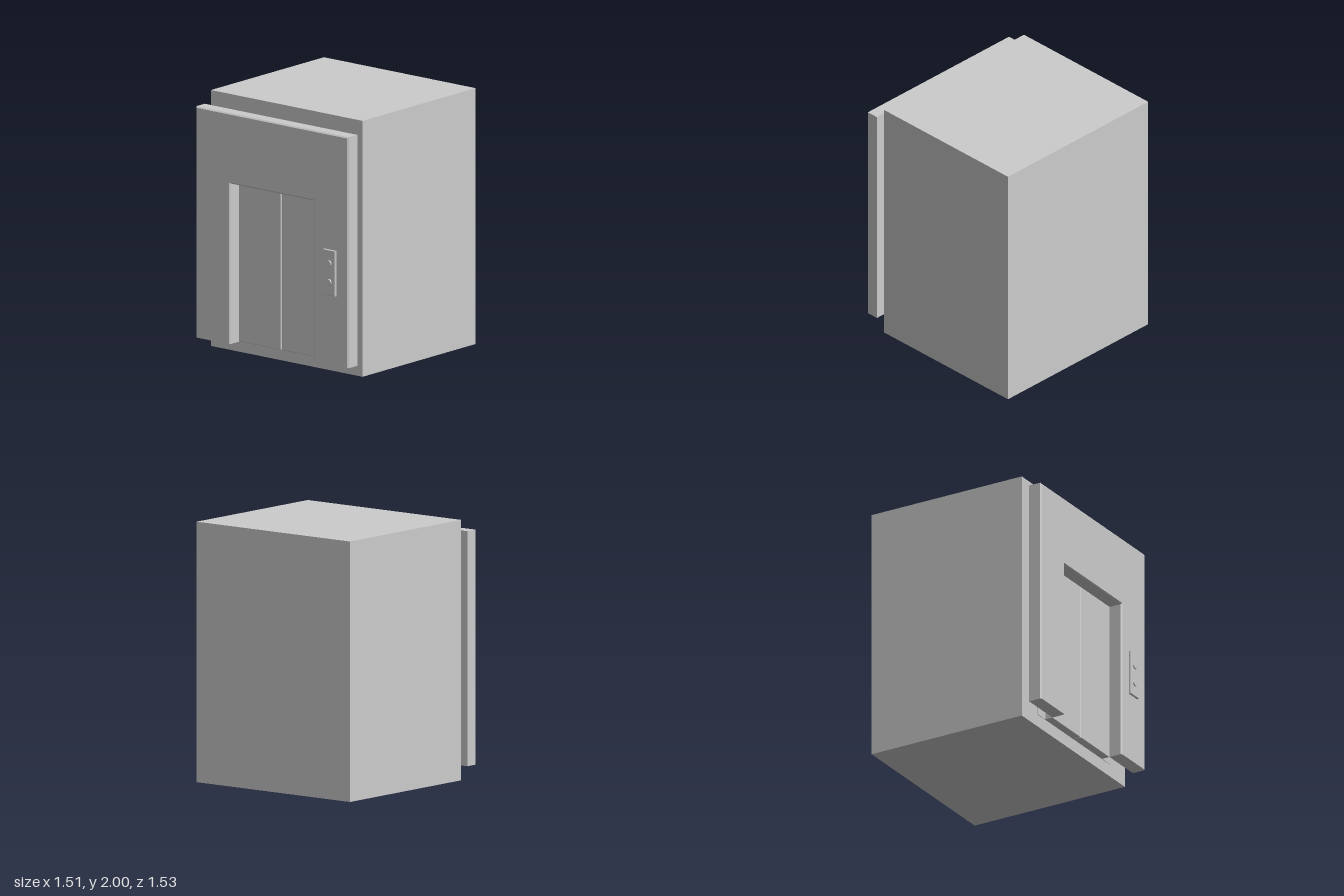
import * as THREE from 'three';

const material = new THREE.MeshStandardMaterial({ color: 0xcccccc });

// Slab from a counter-clockwise outline(inset), with a chamfer along its front edge
function chamferedSlab(name, outline, zBack, zFront, chamfer) {
  const rings = [[0, zBack], [0, zFront - chamfer], [chamfer, zFront]].map(
    ([inset, z]) => outline(inset).map(([x, y]) => new THREE.Vector3(x, y, z)));
  const points = [];
  const count = rings[0].length;
  for (let r = 0; r < 2; r++) {
    for (let i = 0; i < count; i++) {
      const j = (i + 1) % count;
      const a = rings[r][i], b = rings[r][j], c = rings[r + 1][j], d = rings[r + 1][i];
      points.push(a, b, c, a, c, d);
    }
  }
  const flat = rings[0].map((p) => new THREE.Vector2(p.x, p.y));
  for (const [a, b, c] of THREE.ShapeUtils.triangulateShape(flat, [])) {
    points.push(rings[2][a], rings[2][b], rings[2][c]);
    points.push(rings[0][a], rings[0][c], rings[0][b]);
  }
  const geometry = new THREE.BufferGeometry().setFromPoints(points);
  geometry.computeVertexNormals();
  const mesh = new THREE.Mesh(geometry, material);
  mesh.name = name;
  return mesh;
}

// Rectangle outline that shrinks by the inset on all sides
const rectangle = (x0, x1, y0, y1) => (i) =>
  [[x0 + i, y0 + i], [x1 - i, y0 + i], [x1 - i, y1 - i], [x0 + i, y1 - i]];

// Wall outline with a doorway open at the bottom; the base stays square
const wallOutline = (i) => {
  const w = 0.755 - i, top = 1.905 - i, d = 0.415 + i, head = 1.355 + i, y = 0.1;
  return [[-w, y], [-d, y], [-d, head], [d, head], [d, y], [w, y], [w, top], [-w, top]];
};

function box(name, x0, x1, y0, y1, z0, z1) {
  const mesh = new THREE.Mesh(new THREE.BoxGeometry(x1 - x0, y1 - y0, z1 - z0), material);
  mesh.position.set((x0 + x1) / 2, (y0 + y1) / 2, (z0 + z1) / 2);
  mesh.name = name;
  return mesh;
}

export function createModel() {
  const model = new THREE.Group();
  model.name = 'elevator';

  // Shaft block and the thin plate behind the doors
  model.add(box('shaft', -0.75, 0.75, 0, 2, -0.767, 0.567));
  model.add(box('doorBackPlate', -0.53, 0.53, 0.1, 1.355, 0.56, 0.571));

  // Front wall standing clear of the shaft
  model.add(chamferedSlab('frontWall', wallOutline, 0.635, 0.743, 0.01));

  // Pair of sliding doors
  model.add(chamferedSlab('rightDoor', rectangle(-0.415, -0.003, 0.1, 1.355), 0.567, 0.629, 0.005));
  model.add(chamferedSlab('leftDoor', rectangle(0.003, 0.415, 0.1, 1.355), 0.567, 0.629, 0.005));

  // Call panel with two round buttons
  const callPanel = new THREE.Group();
  callPanel.name = 'callPanel';
  callPanel.add(chamferedSlab('callPlate', rectangle(0.52, 0.638, 0.645, 1), 0.743, 0.759, 0.003));
  const buttonGeometry = new THREE.CylinderGeometry(0.022, 0.026, 0.01, 20).rotateX(Math.PI / 2);
  for (const [name, y] of [['upButton', 0.895], ['downButton', 0.75]]) {
    const button = new THREE.Mesh(buttonGeometry, material);
    button.position.set(0.579, y, 0.762);
    button.name = name;
    callPanel.add(button);
  }
  model.add(callPanel);
  return model;
}
